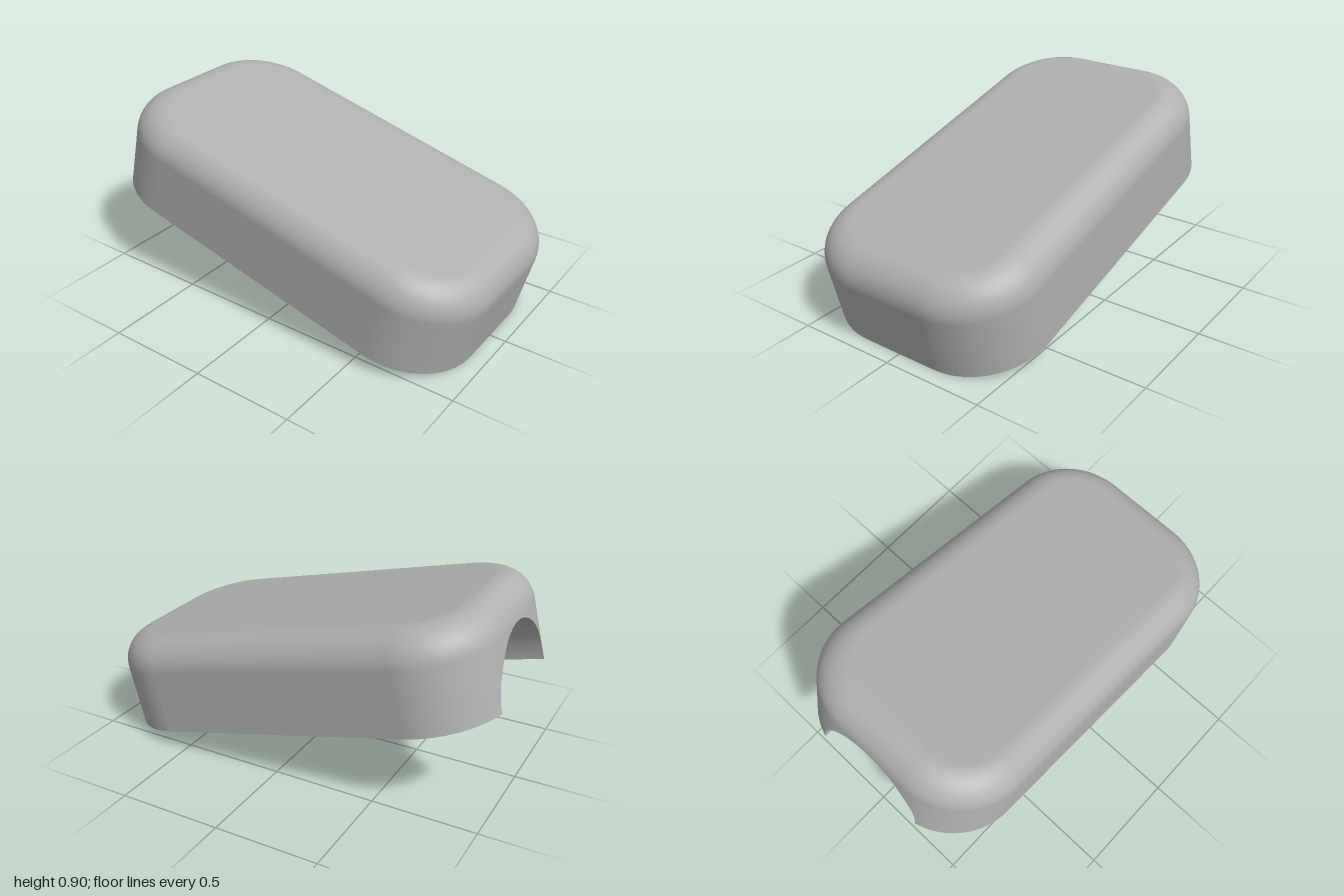
import * as THREE from 'three';

const L = 1.995, HALF_W = 0.56, H = 0.46;   // slab length, half width, height
const R = 0.36, F = 0.155;                  // plan corner radius, top fillet radius
const A = 0.3, END = L / 2 - 0.4;           // channel radius, closed end of channel
const CX = L / 2 - R, CZ = HALF_W - R;      // corner centres

// Plan points: position x, z, lower edge height h, outward angle a
function planPoints() {
  const pts = [];
  const arc = (sx, sz, a0, a1, n, from, to) => {
    for (let i = from; i <= to; i++) {
      const a = a0 + (a1 - a0) * i / n;
      pts.push({ x: sx * CX + R * Math.cos(a), z: sz * CZ + R * Math.sin(a), h: 0, a });
    }
  };
  const lip = Math.asin((A - CZ) / R), N = 16, M = 64;
  arc(1, 1, 0, Math.PI / 2, N, 0, N);
  arc(-1, 1, Math.PI / 2, Math.PI - lip, N, 0, N - 1);
  const first = pts.length;
  for (let i = 0; i <= M; i++) {
    const t = Math.PI * i / M, z = A * Math.cos(t);
    const s = Math.sign(z) * Math.max(Math.abs(z) - CZ, 0) / R;
    const a = Math.PI - Math.asin(s);
    pts.push({ x: -CX + R * Math.cos(a), z, h: i % M ? A * Math.sin(t) : 0, a, t });
  }
  const last = pts.length - 1;
  arc(-1, -1, Math.PI + lip, Math.PI * 1.5, N, 1, N);
  arc(1, -1, Math.PI * 1.5, Math.PI * 2, N, 0, N);
  return { pts, first, last };
}

// Surface through columns of { p, n } (position and normal)
function grid(columns, closed) {
  const rows = columns[0].length, pos = [], nor = [], idx = [];
  columns.forEach(c => c.forEach(v => { pos.push(...v.p); nor.push(...v.n); }));
  const count = closed ? columns.length : columns.length - 1;
  for (let i = 0; i < count; i++) {
    for (let j = 0; j < rows - 1; j++) {
      const a = i * rows + j, b = ((i + 1) % columns.length) * rows + j;
      idx.push(a, a + 1, b, b, a + 1, b + 1);
    }
  }
  const g = new THREE.BufferGeometry();
  g.setAttribute('position', new THREE.Float32BufferAttribute(pos, 3));
  g.setAttribute('normal', new THREE.Float32BufferAttribute(nor, 3));
  g.setIndex(idx);
  return g;
}

export function createModel() {
  const grey = new THREE.MeshStandardMaterial({ color: 0xb0b0b0 });
  grey.name = 'grey';
  const model = new THREE.Group();
  model.name = 'tiltedCover';
  const add = (name, geometry) => {
    const mesh = new THREE.Mesh(geometry, grey);
    mesh.name = name;
    model.add(mesh);
    return mesh;
  };
  const { pts, first, last } = planPoints();

  // Side wall with arched opening, rolling over into the top
  const K = 14;
  add('sideWall', grid(pts.map(({ x, z, h, a }) => {
    const c = Math.cos(a), s = Math.sin(a);
    const column = [{ p: [x, h, z], n: [c, 0, s] }];
    for (let k = 0; k <= K; k++) {
      const f = Math.PI / 2 * k / K, inset = F * (1 - Math.cos(f));
      column.push({
        p: [x - c * inset, H - F + F * Math.sin(f), z - s * inset],
        n: [c * Math.cos(f), Math.sin(f), s * Math.cos(f)],
      });
    }
    return column;
  }), true));

  // Flat top inside the fillet
  const topShape = new THREE.Shape(pts.map(({ x, z, a }) =>
    new THREE.Vector2(x - F * Math.cos(a), -(z - F * Math.sin(a)))));
  add('topFace', new THREE.ShapeGeometry(topShape).rotateX(-Math.PI / 2)).position.y = H;

  // U-shaped underside around the channel
  const v = ({ x, z }) => new THREE.Vector2(x, z);
  const bottomShape = new THREE.Shape([
    ...pts.slice(0, first + 1).map(v),
    new THREE.Vector2(END, A), new THREE.Vector2(END, -A),
    ...pts.slice(last).map(v),
  ]);
  add('underside', new THREE.ShapeGeometry(bottomShape).rotateX(Math.PI / 2));

  // Half-round channel, open at one end
  add('channel', grid(pts.slice(first, last + 1).map(({ x, z, h, t }) => {
    const n = [0, -Math.sin(t), -Math.cos(t)];
    return [{ p: [END, h, z], n }, { p: [x, h, z], n }];
  }), false));
  add('channelEnd', new THREE.CircleGeometry(A, 64, 0, Math.PI).rotateY(-Math.PI / 2)).position.x = END;

  // Tilt the slab down towards +x
  model.rotation.z = -Math.atan2(0.488, 1.934);
  model.position.set(-0.047, 0.244, 0);
  const root = new THREE.Group();
  root.name = 'model';
  root.add(model);
  return root;
}
